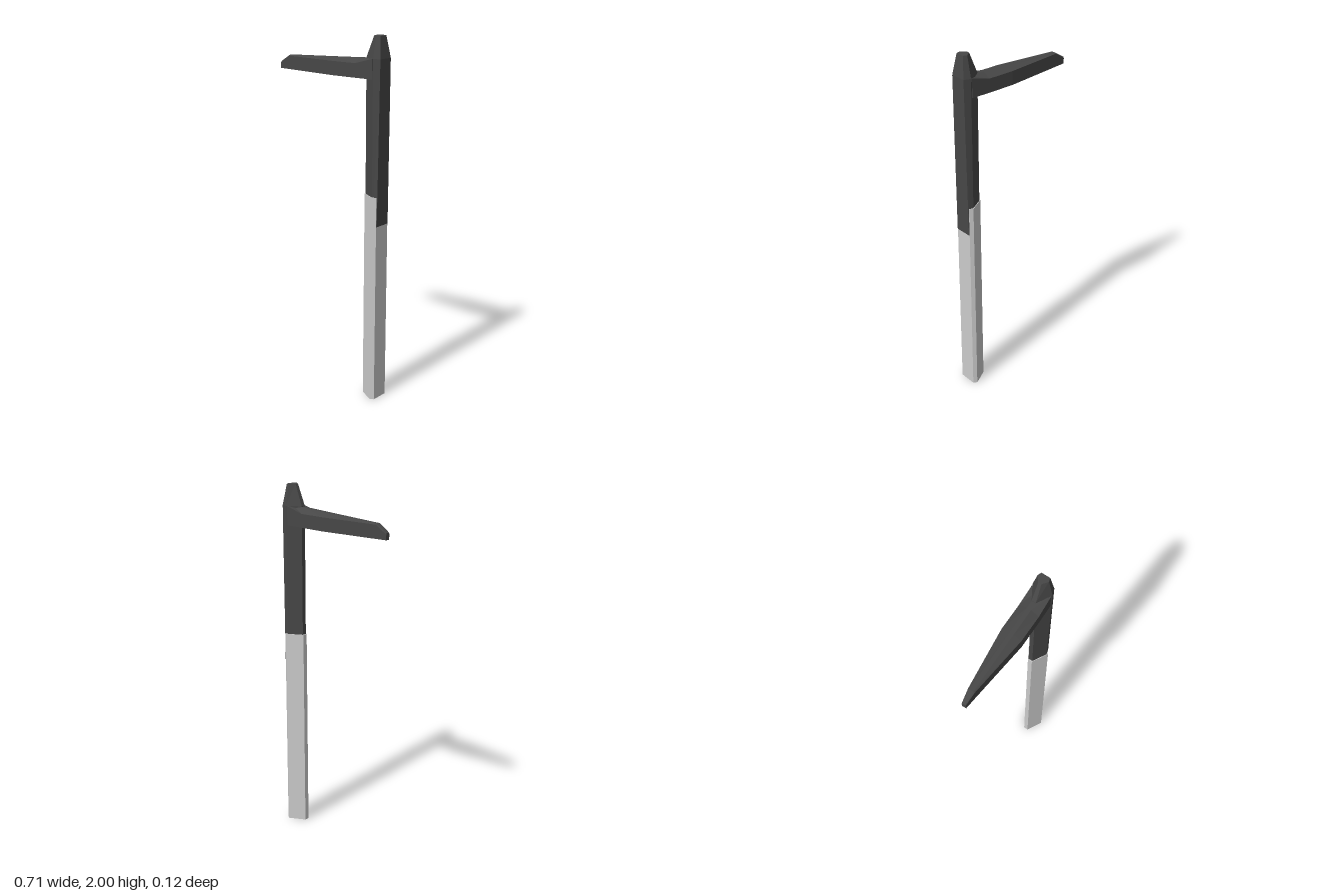
import * as THREE from 'three';

const grey = new THREE.MeshStandardMaterial({ color: 0xcccccc, flatShading: true });
const dark = new THREE.MeshStandardMaterial({ color: 0x474747, flatShading: true });

// Skin a list of rings (equal point counts, counter-clockwise seen from the far end) and cap both ends
function loft(name, rings, material) {
  const pos = [];
  const tri = (a, b, c) => pos.push(...a, ...b, ...c);
  const n = rings[0].length;
  for (let i = 0; i < rings.length - 1; i++) {
    for (let j = 0; j < n; j++) {
      const k = (j + 1) % n;
      const [a, b, c, d] = [rings[i][j], rings[i][k], rings[i + 1][k], rings[i + 1][j]];
      tri(a, b, c);
      tri(a, c, d);
    }
  }
  const first = rings[0], last = rings[rings.length - 1];
  for (let j = 1; j < n - 1; j++) {
    tri(first[0], first[j + 1], first[j]);
    tri(last[0], last[j], last[j + 1]);
  }
  const geometry = new THREE.BufferGeometry();
  geometry.setAttribute('position', new THREE.Float32BufferAttribute(pos, 3));
  geometry.computeVertexNormals();
  const mesh = new THREE.Mesh(geometry, material);
  mesh.name = name;
  return mesh;
}

// Six-sided upright section: half profile of [x, z] pairs, mirrored in z
function postRing(y, half) {
  const front = half.map(([x, z]) => [x, y, z]);
  const back = half.map(([x, z]) => [x, y, -z]).reverse();
  return [...front, ...back];
}

// Roof-topped arm section: half width, shoulder height and ridge height
function armRing([x, w, shoulder, ridge]) {
  const r = Math.min(0.012, w * 0.8), base = 1.78;
  return [
    [x, base, -w], [x, shoulder, -w], [x, ridge, -r],
    [x, ridge, r], [x, shoulder, w], [x, base, w],
  ];
}

export function createModel() {
  const model = new THREE.Group();

  // Plain handle
  const grip = [[0.238, 0.013], [0.325, 0.062], [0.345, 0.05]];
  model.add(loft('handle', [postRing(0, grip), postRing(1.16, grip)], grey));

  // Dark upper shaft: its outer face stays proud of the handle down to y = 1, its top tapers
  model.add(loft('upperShaft', [
    postRing(1.0, [[0.244, 0.012], [0.32, 0.055], [0.348, 0.048]]),
    postRing(1.885, [[0.241, 0.012], [0.318, 0.057], [0.355, 0.044]]),
    postRing(2.0, [[0.288, 0.009], [0.318, 0.032], [0.339, 0.025]]),
  ], dark));

  // Side arm tapering to a blunt point
  model.add(loft('sideArm', [
    [-0.355, 0.012, 1.81, 1.817],
    [-0.29, 0.019, 1.853, 1.857],
    [0.05, 0.057, 1.855, 1.872],
    [0.2, 0.057, 1.855, 1.879],
    [0.31, 0.055, 1.885, 1.886],
  ].map(armRing), dark));

  // Pale panel under the arm
  const outline = [[-0.33, 0.009], [0.05, 0.048], [0.25, 0.048]];
  model.add(loft('armUnderside', [
    postRing(1.779, [...outline]),
    postRing(1.79, [...outline]),
  ], grey));

  return model;
}
